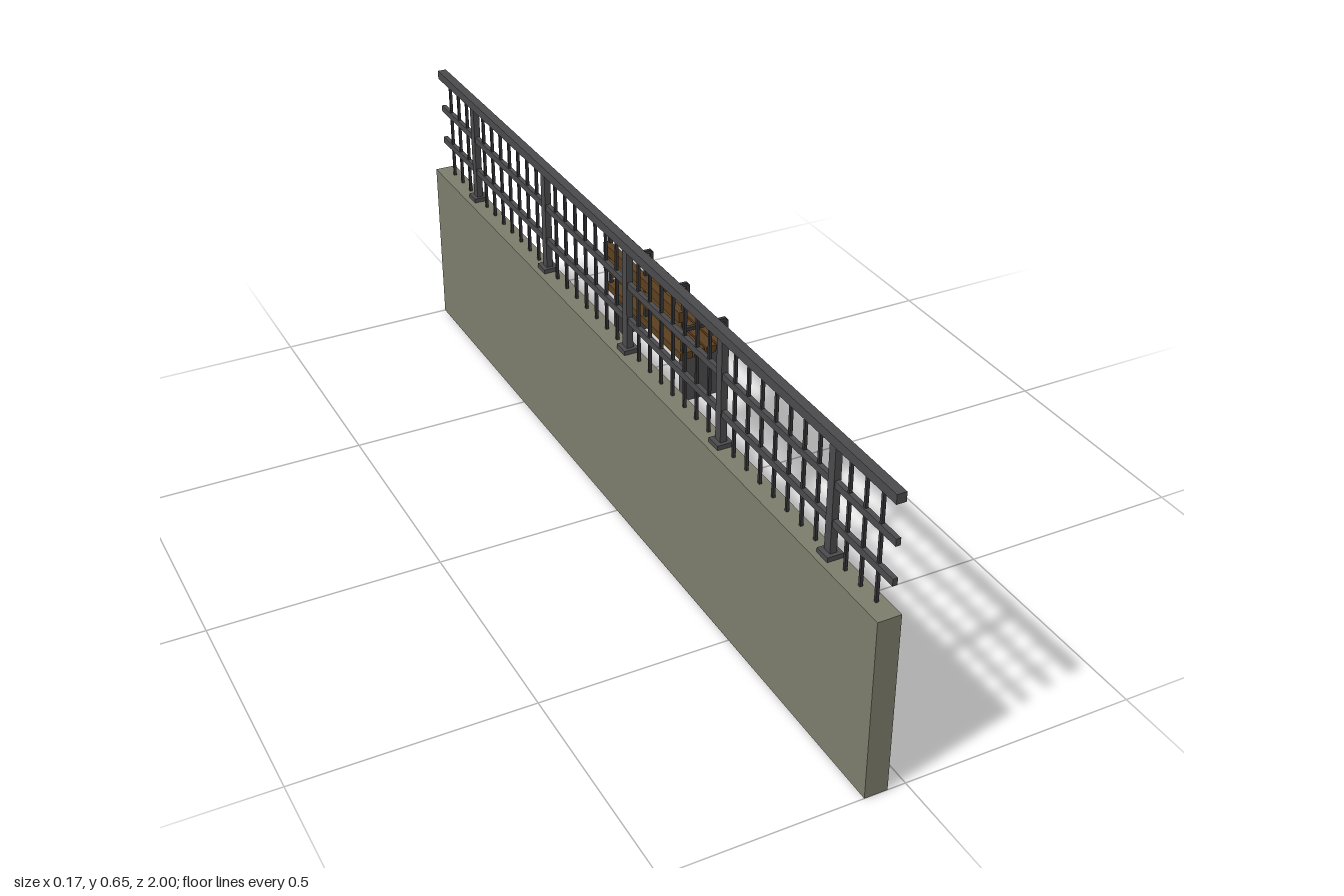
import * as THREE from 'three';

const material = (name, color) => {
  const m = new THREE.MeshStandardMaterial({ color });
  m.name = name;
  return m;
};

export function createModel() {
  const concrete = material('concrete', 0x7d7d6d);
  const steel = material('steel', 0x4b4b4d);
  const darkSteel = material('dark steel', 0x363639);
  const wood = material('wood', 0x5c4020);

  const model = new THREE.Group();
  model.name = 'wallWithRailingAndBench';
  const group = (name) => {
    const g = new THREE.Group();
    g.name = name;
    model.add(g);
    return g;
  };

  // Box given by its extents in x and y, and by centre and length in z
  const bar = (parent, name, mat, [x0, x1], [y0, y1], z, depth) => {
    const mesh = new THREE.Mesh(new THREE.BoxGeometry(x1 - x0, y1 - y0, depth), mat);
    mesh.position.set((x0 + x1) / 2, (y0 + y1) / 2, z);
    mesh.name = name;
    parent.add(mesh);
  };

  // Wall
  bar(model, 'wall', concrete, [-0.0875, -0.0385], [0, 0.397], 0, 2);

  // Railing: rails along the wall, posts on base plates, thin balusters
  const railing = group('railing');
  const cx = -0.058;
  const across = (w) => [cx - w / 2, cx + w / 2];
  bar(railing, 'topRail', steel, across(0.02), [0.632, 0.652], 0, 2);
  for (const y of [0.472, 0.554]) {
    bar(railing, 'middleRail', steel, across(0.01), [y - 0.0075, y + 0.0075], 0, 2);
  }
  for (let i = -19; i <= 19; i++) {
    const z = i * 0.05;
    if (i % 8 === 0) {
      bar(railing, 'post', steel, across(0.0145), [0.4, 0.634], z, 0.02);
      bar(railing, 'basePlate', steel, across(0.034), [0.396, 0.407], z, 0.036);
    } else {
      bar(railing, 'baluster', darkSteel, across(0.006), [0.396, 0.634], z, 0.006);
    }
  }

  // Bench slats
  const bench = group('bench');
  for (const x of [[-0.025, 0.002], [0.006, 0.029], [0.033, 0.056], [0.06, 0.087]]) {
    bar(bench, 'seatSlat', wood, x, [0.452, 0.468], 0, 0.342);
  }
  for (const y of [[0.502, 0.525], [0.54, 0.563], [0.59, 0.613]]) {
    bar(bench, 'backSlat', wood, [-0.03, -0.014], y, 0, 0.342);
  }

  // Bench legs
  for (const z of [-0.15, 0.15]) {
    bar(bench, 'leg', steel, [-0.0125, 0.074], [0.346, 0.453], z, 0.018);
  }

  // Back supports and armrests at both ends and in the middle
  for (const z of [-0.165, 0, 0.165]) {
    bar(bench, 'backSupport', darkSteel, [-0.02, -0.012], [0.46, 0.609], z, 0.008);
    bar(bench, 'armrest', darkSteel, [-0.013, 0.08], [0.515, 0.523], z, 0.008);
    bar(bench, 'armrestPost', darkSteel, [0.076, 0.084], [0.46, 0.518], z, 0.008);
  }

  return model;
}
